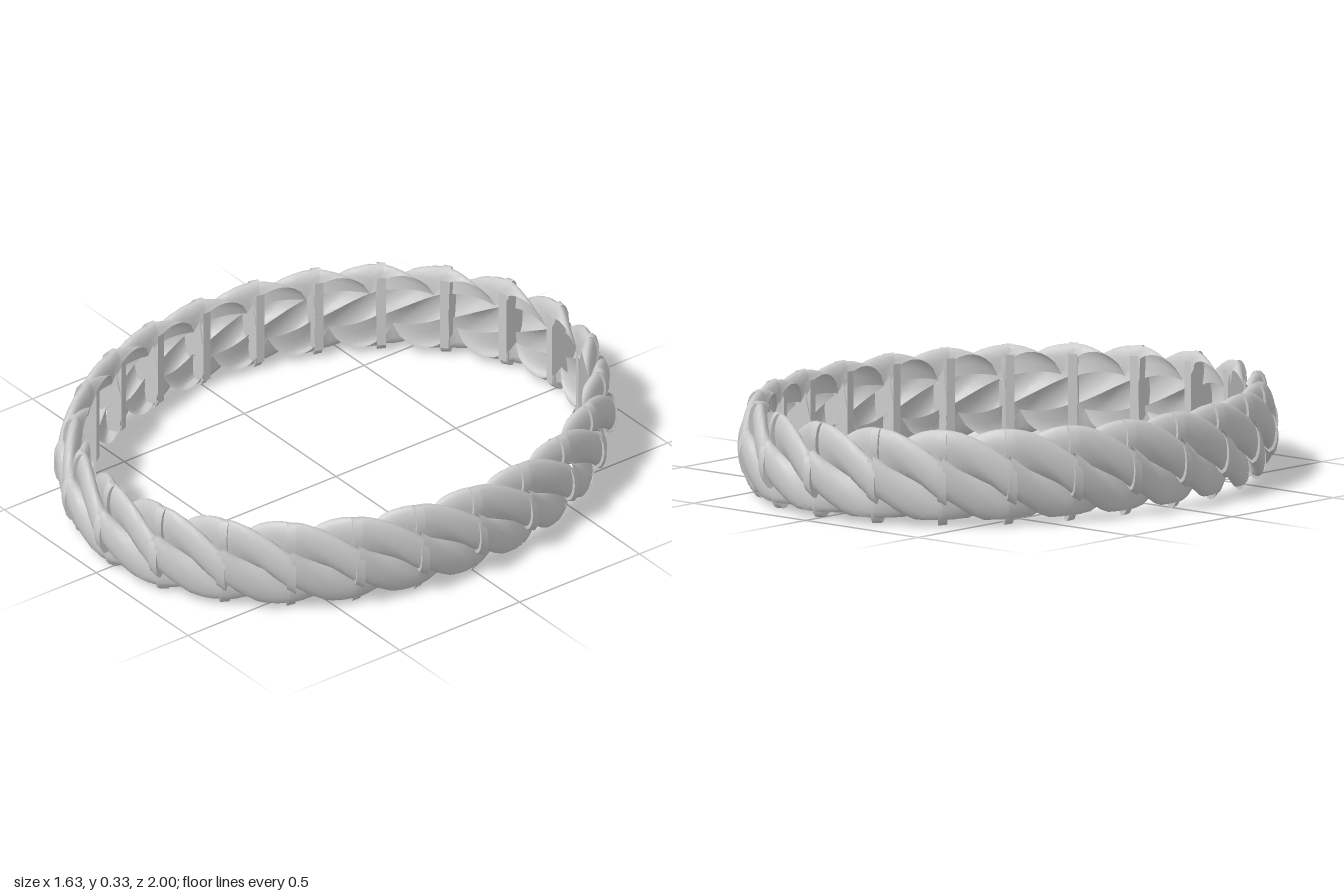
import * as THREE from 'three';

const SEGMENTS = 24, ARC = 8, QUARTER = Math.PI / 2;
const INNER_X = 0.702, INNER_Z = 0.889, MID_Y = 0.167;
const AXIS = 0.04;                                   // rope axis, measured out from the inner edge
const FROM = -Math.PI / 6, TO = Math.PI - FROM;      // arc covered by the skin, from straight up
const material = new THREE.MeshStandardMaterial({ color: 0xcccccc, side: THREE.DoubleSide });
const clamp = THREE.MathUtils.clamp;

// Joints at equal distances along the oval inner edge, from the front towards +x
const oval = new THREE.EllipseCurve(0, 0, INNER_X, INNER_Z, QUARTER, QUARTER - 2 * Math.PI, true);
const joints = oval.getSpacedPoints(SEGMENTS).slice(0, SEGMENTS)
  .map((p) => new THREE.Vector3(p.x, MID_Y, p.y));
const joint = (i) => joints[(i + SEGMENTS) % SEGMENTS];

// Distance from the rope's axis to a round strand, at an angle from the strand's middle
function strandRadius(angle) {
  const offset = 0.586, r = 0.414;
  const across = offset * Math.sin(angle);
  return offset * Math.cos(angle) + Math.sqrt(Math.max(0, r * r - across * across));
}

// Four-strand twisted rope from p0 to p1, open along the inner edge unless solid
function ropePiece(p0, p1, { depth, height, bottom, turn0, turn1, steps, solid }) {
  const along = p1.clone().sub(p0).normalize();
  const out = new THREE.Vector3(-along.z, 0, along.x);
  const pos = [], index = [];
  const add = (t, u, y) => {
    const v = p0.clone().lerp(p1, t).addScaledVector(out, Math.max(u, 0));
    return pos.push(v.x, v.y + Math.max(y, -bottom), v.z) / 3 - 1;
  };
  const addSection = (t, strand, s) => {
    const mid = strand * QUARTER + turn0 + (turn1 - turn0) * t;
    const from = clamp(mid - QUARTER / 2, FROM, TO), to = clamp(mid + QUARTER / 2, FROM, TO);
    const a = from + (to - from) * s / ARC;
    const r = strandRadius(clamp(a - mid, -QUARTER / 2, QUARTER / 2));
    return add(t, AXIS + r * depth * Math.sin(a), r * height * Math.cos(a));
  };
  for (let strand = -2; strand <= 3; strand++) {
    // Outer skin of one strand
    const base = pos.length / 3, row = ARC + 1;
    for (let i = 0; i <= steps; i++) for (let s = 0; s <= ARC; s++) addSection(i / steps, strand, s);
    for (let i = 0; i < steps; i++) for (let s = 0; s < ARC; s++) {
      const a = base + i * row + s, b = a + row;
      index.push(a, a + 1, b, a + 1, b + 1, b);
    }
    // Flat ends of a solid piece
    if (solid) for (const t of [0, 1]) {
      const c = add(t, 0, 0);
      for (let s = 0; s <= ARC; s++) addSection(t, strand, s);
      for (let s = 1; s <= ARC; s++) index.push(c, t ? c + s : c + s + 1, t ? c + s + 1 : c + s);
    }
  }
  // Flat inner edge of a solid piece
  if (solid) {
    const y = height * 0.8;
    const a = add(0, 0, y), b = add(1, 0, y), c = add(1, 0, -y), d = add(0, 0, -y);
    index.push(a, b, c, a, c, d);
  }
  const geometry = new THREE.BufferGeometry();
  geometry.setAttribute('position', new THREE.Float32BufferAttribute(pos, 3));
  geometry.setIndex(index);
  geometry.computeVertexNormals();
  return geometry;
}

export function createModel() {
  const model = new THREE.Group();
  model.name = 'twistedRing';
  const overlap = 0.06;
  for (let i = 0; i < SEGMENTS; i++) {
    const a = joint(i), b = joint(i + 1);
    // Rope section, reaching a little past both joints
    const rope = new THREE.Mesh(ropePiece(a.clone().lerp(b, -overlap), a.clone().lerp(b, 1 + overlap), {
      depth: 0.064, height: 0.16, bottom: 0.14,
      turn0: -overlap * QUARTER, turn1: (1 + overlap) * QUARTER, steps: 10, solid: false,
    }), material);
    rope.name = 'ropeSection' + (i + 1);
    model.add(rope);

    // Solid rib at the joint, its tips showing outside and below
    const half = b.clone().sub(joint(i - 1)).normalize().multiplyScalar(0.015);
    const rib = new THREE.Mesh(ropePiece(a.clone().sub(half), a.clone().add(half), {
      depth: 0.071, height: 0.163, bottom: 0.163, turn0: 0.05, turn1: 0.25, steps: 1, solid: true,
    }), material);
    rib.name = 'jointRib' + (i + 1);
    model.add(rib);
  }
  return model;
}
